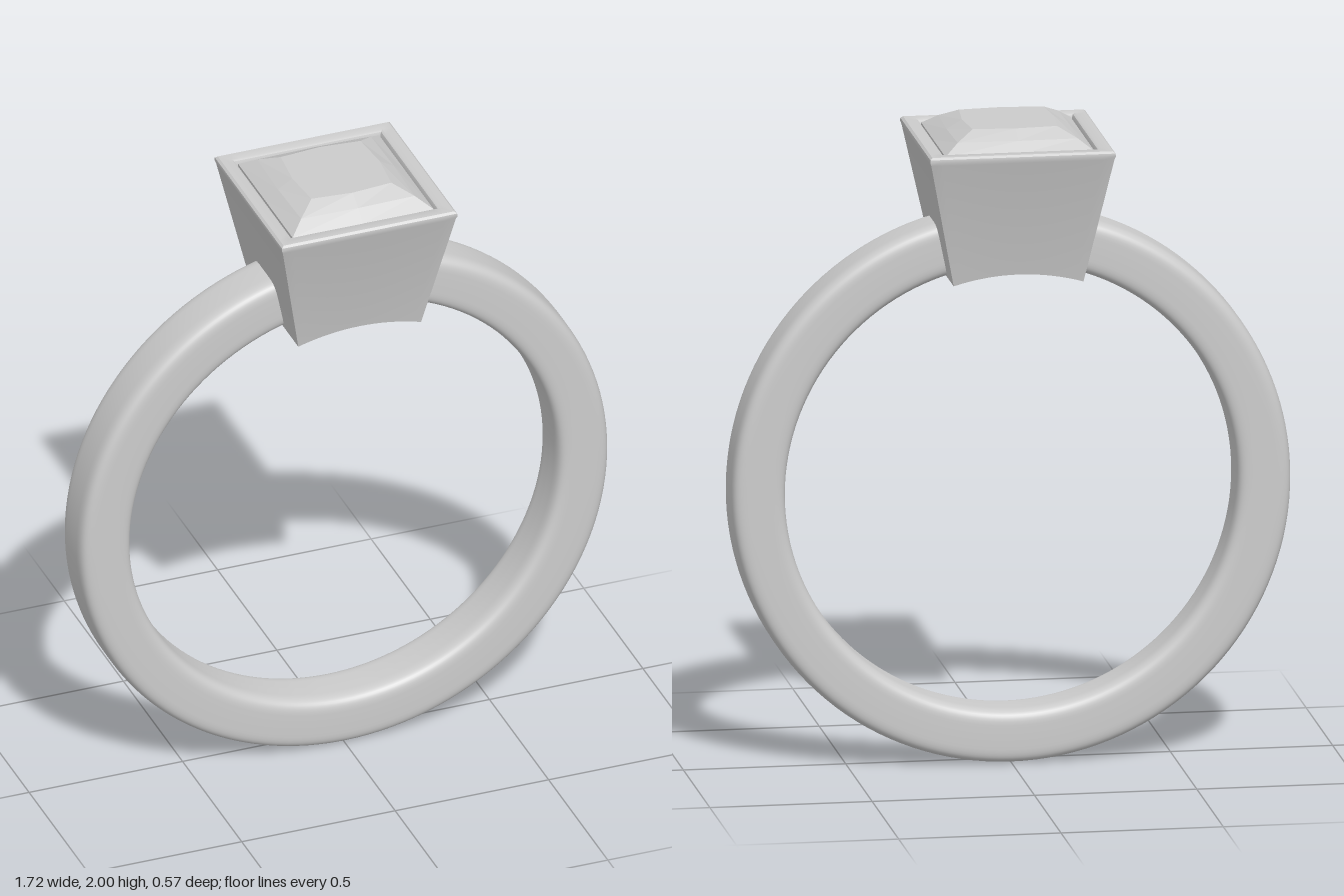
import * as THREE from 'three';
import { toCreasedNormals } from 'three/addons/utils/BufferGeometryUtils.js';

const CENTRE_Y = 0.862, INNER_R = 0.695, OUTER_R = 0.862, HALF_WIDTH = 0.09;

// Joins square rings, each side split into n steps. A ring is
// { h: half width, y: number or function of (x), bulge: extra width at mid-side }.
function squareLoft(rings, n, closed) {
  const pos = [], index = [], count = 4 * (n + 1);
  for (const { h, y, bulge = 0 } of rings) {
    for (let k = 0; k < 4; k++) {
      const c = Math.round(Math.cos(k * Math.PI / 2)), s = Math.round(Math.sin(k * Math.PI / 2));
      for (let j = 0; j <= n; j++) {
        const t = (2 * j) / n - 1;
        const u = t * h, v = h + bulge * (1 - Math.abs(t));
        const x = u * c + v * s, z = -u * s + v * c;
        pos.push(x, typeof y === 'function' ? y(x) : y, z);
      }
    }
  }
  const last = closed ? rings.length : rings.length - 1;
  for (let i = 0; i < last; i++) {
    const lo = i * count, hi = ((i + 1) % rings.length) * count;
    for (let k = 0; k < 4; k++) {
      for (let j = 0; j < n; j++) {
        const a = k * (n + 1) + j, b = a + 1;
        index.push(lo + a, lo + b, hi + b, lo + a, hi + b, hi + a);
      }
    }
  }
  const g = new THREE.BufferGeometry();
  g.setAttribute('position', new THREE.Float32BufferAttribute(pos, 3));
  g.setIndex(index);
  g.computeVertexNormals();
  return g;
}

// Band: softly squared cross-section turned round the finger, open under the setting
function bandGeometry() {
  const profile = [], steps = 48, power = 2 / 5;
  const soft = (v) => Math.sign(v) * Math.pow(Math.abs(v), power);
  for (let i = 0; i <= steps; i++) {
    const a = Math.PI + (i / steps) * Math.PI * 2;
    profile.push(new THREE.Vector2(
      (INNER_R + OUTER_R) / 2 + soft(Math.cos(a)) * (OUTER_R - INNER_R) / 2,
      soft(Math.sin(a)) * HALF_WIDTH));
  }
  const gap = THREE.MathUtils.degToRad(15);
  return new THREE.LatheGeometry(profile, 128, gap, Math.PI * 2 - 2 * gap)
    .rotateX(-Math.PI / 2)
    .translate(0, CENTRE_Y, 0);
}

export function createModel() {
  const group = new THREE.Group();
  const add = (name, geometry, options = {}) => {
    const mesh = new THREE.Mesh(geometry, new THREE.MeshStandardMaterial({ color: 0xcccccc, ...options }));
    mesh.name = name;
    group.add(mesh);
  };

  add('band', bandGeometry());

  // Tapered hollow setting, its underside hollowed to follow the finger opening
  const underside = (x) => CENTRE_Y + Math.sqrt(INNER_R ** 2 - x ** 2);
  const setting = squareLoft([
    { h: 0.2, y: underside },
    { h: 0.282, y: 1.925 },
    { h: 0.286, y: 1.935 },
    { h: 0.285, y: 1.944 },
    { h: 0.278, y: 1.95 },
    { h: 0.246, y: 1.95 },
    { h: 0.239, y: 1.946 },
    { h: 0.235, y: 1.935 },
    { h: 0.232, y: 1.89 },
    { h: 0.12, y: underside },
  ], 16, true);
  add('setting', toCreasedNormals(setting, 0.7));

  // Square-cut stone: pavilion, girdle, crown and table
  const stone = squareLoft([
    { h: 0.002, y: 1.61 },
    { h: 0.13, y: 1.75 },
    { h: 0.215, y: 1.89 },
    { h: 0.23, y: 1.925 },
    { h: 0.23, y: 1.94 },
    { h: 0.185, y: 1.972, bulge: 0.004 },
    { h: 0.13, y: 2, bulge: 0.012 },
    { h: 0, y: 2 },
  ], 2, false);
  add('stone', stone, { flatShading: true });

  return group;
}
